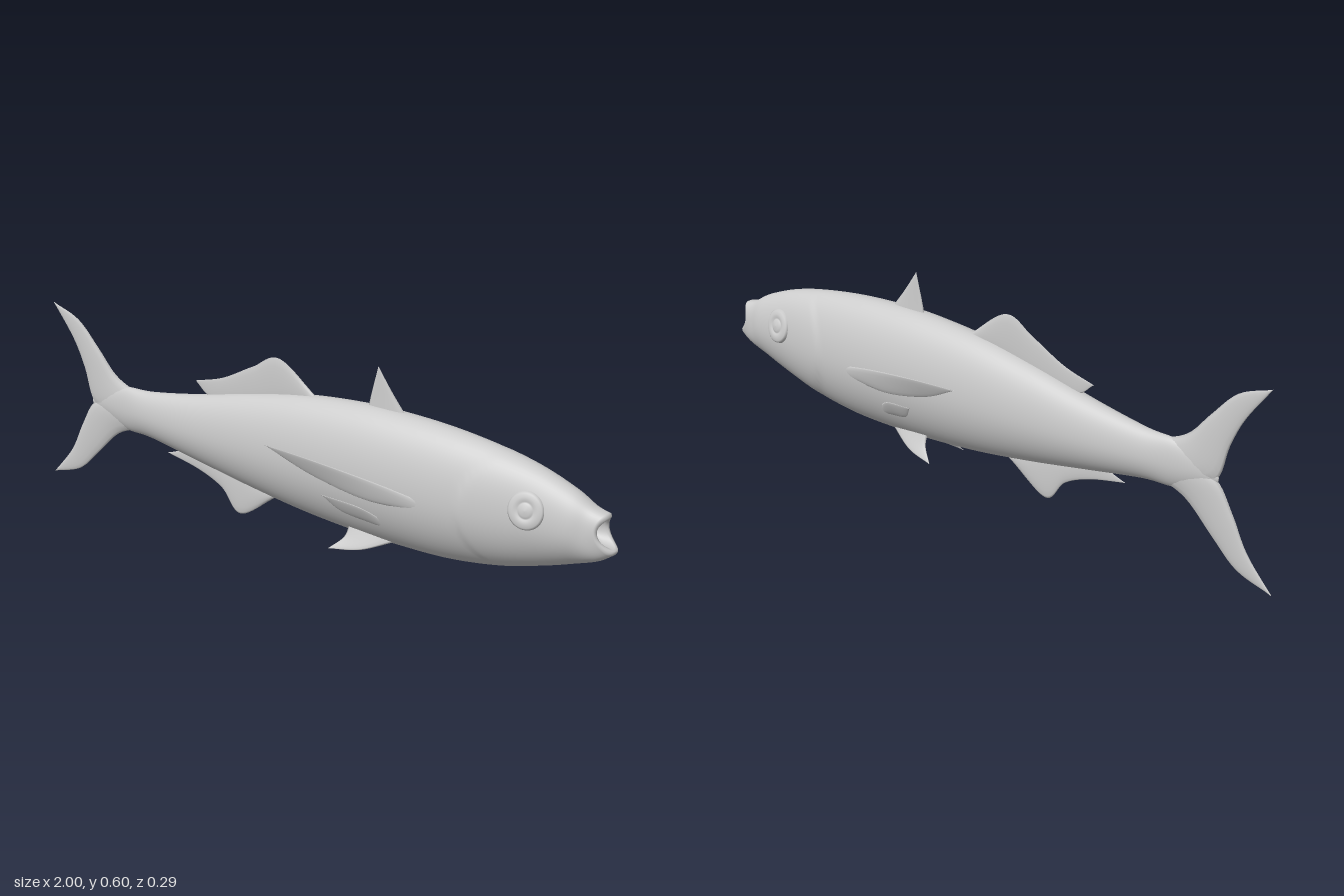
import * as THREE from 'three';

const V = (x, y, z = 0) => new THREE.Vector3(x, y, z);
const skin = new THREE.MeshStandardMaterial({ color: 0xcccccc });
const finSkin = new THREE.MeshStandardMaterial({ color: 0xcccccc, side: THREE.DoubleSide });
const spline = (pts) => new THREE.CatmullRomCurve3(pts.map((p) => V(...p)), false, 'catmullrom', 0.5);

// Skin a list of closed rings (arrays of Vector3, equal length)
function loft(rings) {
  const n = rings[0].length;
  const pos = rings.flat().flatMap((p) => [p.x, p.y, p.z]);
  const index = [];
  for (let i = 0; i < rings.length - 1; i++) {
    for (let j = 0; j < n; j++) {
      const a = i * n + j, c = i * n + (j + 1) % n;
      index.push(a, a + n, c, c, a + n, c + n);
    }
  }
  const geo = new THREE.BufferGeometry();
  geo.setAttribute('position', new THREE.Float32BufferAttribute(pos, 3));
  geo.setIndex(index);
  geo.computeVertexNormals();
  return geo;
}

// Body cross-section: rounded back, narrower belly, gill cover step, notched mouth
function bodyRing(x, top, bottom, w, sides = 56) {
  const ring = [];
  const mouth = THREE.MathUtils.smoothstep(x, 0.87, 0.98);
  const mid = (top + bottom) / 2, h = (top - bottom) / 2;
  for (let j = 0; j < sides; j++) {
    const a = (j / sides) * Math.PI * 2;
    const s = Math.sin(a), c = Math.cos(a);
    const power = THREE.MathUtils.lerp(s < 0 ? 1.35 : 0.95, 0.7, mouth);
    const gillX = 0.56 + 0.09 * s * s;
    const gill = 0.005 * THREE.MathUtils.smoothstep(x, gillX, gillX + 0.02)
      * (1 - THREE.MathUtils.smoothstep(x, gillX + 0.02, gillX + 0.2));
    ring.push(V(
      x - mouth * (0.03 * c * c + 0.012 * s),
      mid + h * s,
      Math.sign(c) * Math.abs(c) ** power * (w + gill),
    ));
  }
  return ring;
}

// Thin lens-section fin between two edges that meet at the tip
function fin(name, edgeA, edgeB, thickness, steps = 24, sides = 14) {
  const A = spline(edgeA), B = spline(edgeB);
  const across = A.getPoint(0.5).sub(B.getPoint(0.5));
  const normal = A.getPoint(1).sub(A.getPoint(0)).cross(across).normalize();
  const rings = [];
  for (let i = 0; i <= steps; i++) {
    const u = i / steps, a = A.getPoint(u), b = B.getPoint(u);
    const t = thickness * (0.1 + 0.9 * (1 - u)) / 2;
    rings.push(Array.from({ length: sides }, (_, j) => {
      const ang = (j / sides) * Math.PI * 2;
      return a.clone().lerp(b, (1 - Math.cos(ang)) / 2).addScaledVector(normal, t * Math.sin(ang));
    }));
  }
  const mesh = new THREE.Mesh(loft(rings), finSkin);
  mesh.name = name;
  return mesh;
}

export function createModel() {
  const fish = new THREE.Group();
  fish.name = 'fish';

  // Body stations: x, top, bottom, half width
  const stations = [
    [-0.82, 0.285, 0.265, 0.003], [-0.76, 0.325, 0.235, 0.014], [-0.68, 0.348, 0.212, 0.024],
    [-0.58, 0.353, 0.207, 0.037], [-0.4, 0.383, 0.178, 0.056], [-0.2, 0.428, 0.145, 0.074],
    [0, 0.466, 0.118, 0.089], [0.2, 0.484, 0.103, 0.098], [0.35, 0.485, 0.1, 0.099],
    [0.5, 0.477, 0.104, 0.094], [0.65, 0.458, 0.125, 0.083], [0.77, 0.432, 0.156, 0.071],
    [0.87, 0.397, 0.188, 0.058], [0.94, 0.364, 0.217, 0.045], [0.985, 0.352, 0.247, 0.038],
  ];
  const outline = spline(stations.map(([x, t, b]) => [x, t, b]));
  const widths = spline(stations.map(([x, , , w]) => [x, w, 0]));
  const rings = [bodyRing(-0.822, 0.276, 0.274, 0.0005)];
  for (let i = 0; i <= 150; i++) {
    const p = outline.getPoint(i / 150);
    rings.push(bodyRing(p.x, p.y, p.z, widths.getPoint(i / 150).y));
  }
  // Lip rolling into the open mouth cavity
  for (const r of [
    [0.989, 0.346, 0.253, 0.034], [0.988, 0.34, 0.259, 0.028], [0.98, 0.336, 0.263, 0.024],
    [0.95, 0.33, 0.267, 0.02], [0.92, 0.318, 0.275, 0.014], [0.91, 0.298, 0.296, 0.0005],
  ]) rings.push(bodyRing(...r));
  const body = new THREE.Mesh(loft(rings), skin);
  body.name = 'body';
  fish.add(body);

  // Forked tail
  fish.add(fin('upperTailLobe',
    [[-0.63, 0.335], [-0.72, 0.375], [-0.79, 0.447], [-0.87, 0.523], [-0.972, 0.56]],
    [[-0.72, 0.25], [-0.815, 0.272], [-0.852, 0.375], [-0.895, 0.46], [-0.972, 0.56]], 0.034));
  fish.add(fin('lowerTailLobe',
    [[-0.63, 0.225], [-0.72, 0.19], [-0.81, 0.107], [-0.89, 0.038], [-1, 0.003]],
    [[-0.72, 0.3], [-0.815, 0.272], [-0.87, 0.19], [-0.92, 0.095], [-1, 0.003]], 0.034));

  // Fins along the back and belly
  fish.add(fin('frontDorsalFin',
    [[0.36, 0.46], [0.3, 0.532], [0.25, 0.6]],
    [[0.215, 0.46], [0.226, 0.51], [0.25, 0.6]], 0.016));
  fish.add(fin('rearDorsalFin',
    [[0.06, 0.44], [-0.09, 0.42], [-0.2, 0.4], [-0.34, 0.385], [-0.405, 0.425]],
    [[0.05, 0.458], [-0.09, 0.553], [-0.19, 0.51], [-0.3, 0.455], [-0.405, 0.425]], 0.016, 40));
  fish.add(fin('analFin',
    [[-0.1, 0.15], [-0.22, 0.17], [-0.33, 0.185], [-0.43, 0.2], [-0.52, 0.175]],
    [[-0.11, 0.13], [-0.24, 0.048], [-0.31, 0.113], [-0.4, 0.15], [-0.52, 0.175]], 0.016, 40));

  // Paired fins and eyes
  const eyeProfile = [
    [0.053, -0.012], [0.051, 0.002], [0.046, 0.006], [0.036, 0.008], [0.027, 0.008],
    [0.024, 0.005], [0.02, 0.006], [0.014, 0.01], [0.0, 0.011],
  ].map(([r, y]) => new THREE.Vector2(r, y));
  for (const [side, s] of [['right', -1], ['left', 1]]) {
    const flip = (pts) => pts.map(([x, y, z]) => [x, y, z * s]);
    fish.add(fin(side + 'PectoralFin',
      flip([[0.5, 0.28, 0.085], [0.33, 0.315, 0.113], [0.14, 0.342, 0.138], [-0.03, 0.353, 0.145]]),
      flip([[0.42, 0.255, 0.088], [0.28, 0.253, 0.1], [0.11, 0.29, 0.117], [-0.03, 0.353, 0.145]]), 0.014));
    fish.add(fin(side + 'PelvicFin',
      flip([[0.34, 0.185, 0.068], [0.27, 0.228, 0.105], [0.157, 0.246, 0.13]]),
      flip([[0.29, 0.175, 0.068], [0.205, 0.198, 0.098], [0.157, 0.246, 0.13]]), 0.012));
    fish.add(fin(side + 'VentralFin',
      flip([[0.33, 0.115, 0.022], [0.235, 0.077, 0.055], [0.137, 0.062, 0.072]]),
      flip([[0.18, 0.14, 0.03], [0.175, 0.1, 0.047], [0.137, 0.062, 0.072]]), 0.014));

    const eye = new THREE.Mesh(new THREE.LatheGeometry(eyeProfile, 40), skin);
    eye.name = side + 'Eye';
    eye.position.set(0.77, 0.333, 0.067 * s);
    eye.quaternion.setFromUnitVectors(V(0, 1, 0), V(0.14, 0.2, s).normalize());
    fish.add(eye);
  }
  return fish;
}
